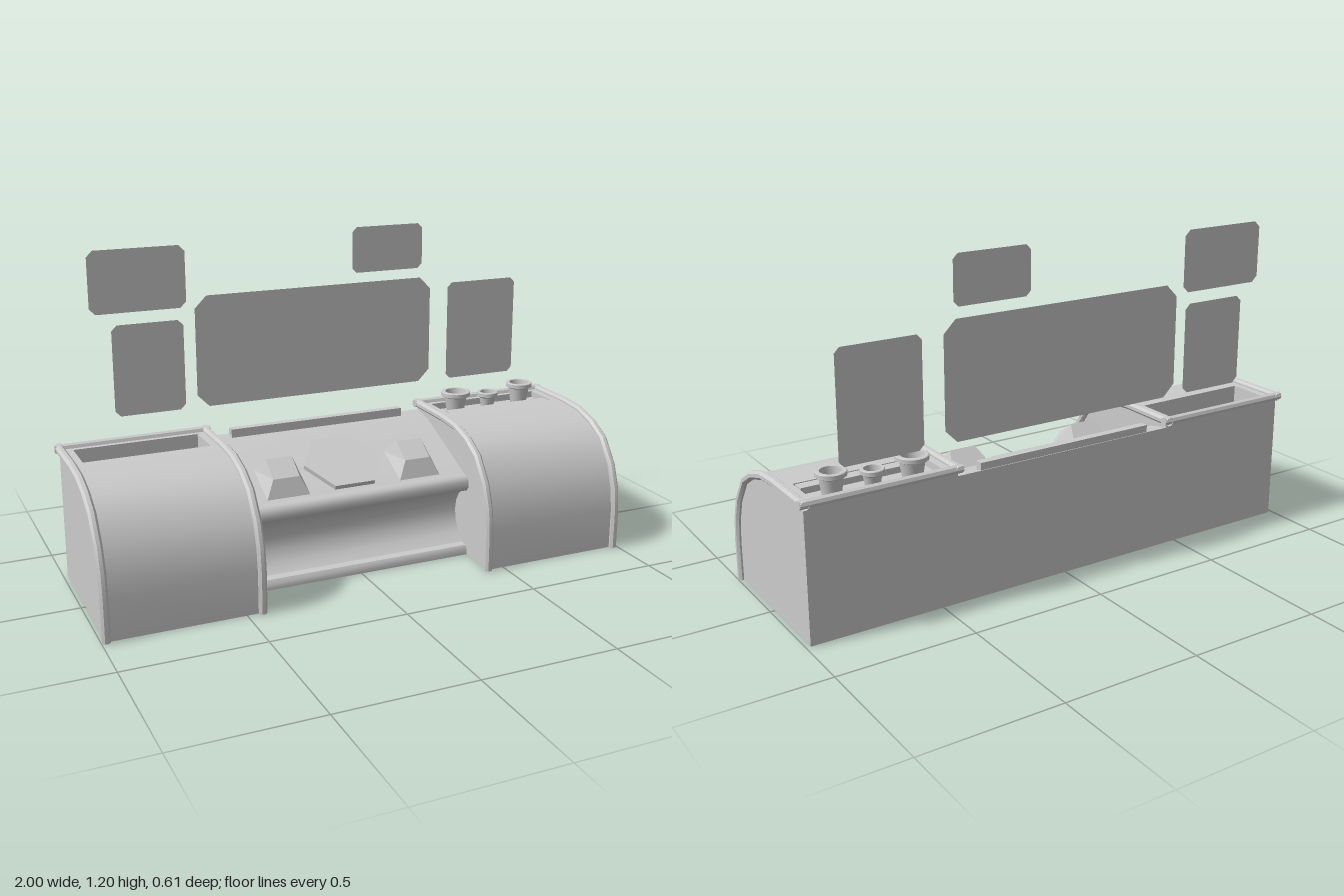
import * as THREE from 'three';
import { toCreasedNormals } from 'three/addons/utils/BufferGeometryUtils.js';

const mat = new THREE.MeshStandardMaterial({ color: 0xcccccc, side: THREE.DoubleSide });

function add(parent, name, geo, x = 0, y = 0, z = 0) {
  const mesh = new THREE.Mesh(geo, mat);
  mesh.name = name;
  mesh.position.set(x, y, z);
  parent.add(mesh);
  return mesh;
}

// Grid of points given by a rule, shaded smooth except at sharp edges
function grid(cols, rows, rule, crease = 0.6) {
  const geo = new THREE.PlaneGeometry(1, 1, cols, rows);
  const pos = geo.attributes.position;
  for (let i = 0; i < pos.count; i++) {
    pos.setXYZ(i, ...rule(i % (cols + 1), Math.floor(i / (cols + 1))));
  }
  return toCreasedNormals(geo, crease);
}

// Surface running along x with a [z, y] profile
const strip = (profile, x0, x1, crease) =>
  grid(1, profile.length - 1, (c, r) => [c ? x1 : x0, profile[r][1], profile[r][0]], crease);

const polygon = (pts) => new THREE.Shape(pts.map((p) => new THREE.Vector2(...p)));
const rect = (x0, x1, y0, y1) => [[x0, y0], [x1, y0], [x1, y1], [x0, y1]];

// Flat panel in the zy plane, facing sideways
const sidePanel = (pts) => new THREE.ShapeGeometry(polygon(pts)).rotateY(-Math.PI / 2);

// Round moulding following a [z, y] path with mitred bends
function moulding(path, radius, sides = 8) {
  const pts = path.map((p) => new THREE.Vector2(...p));
  const offsets = pts.map((p, i) => {
    const a = p.clone().sub(pts[Math.max(i - 1, 0)]).normalize();
    const b = pts[Math.min(i + 1, pts.length - 1)].clone().sub(p).normalize();
    const t = a.add(b).normalize();
    return new THREE.Vector2(-t.y, t.x);
  });
  return grid(sides, pts.length - 1, (c, r) => {
    const a = ((c + 0.5) / sides) * Math.PI * 2;
    const s = radius * Math.sin(a);
    return [radius * Math.cos(a), pts[r].y + offsets[r].y * s, pts[r].x + offsets[r].x * s];
  }, 0.5);
}

const BACK = -0.29, TOP = 0.485, R = 0.016;
const podCurve = [[0.29, 0], [0.29, 0.15], [0.28, 0.235], [0.25, 0.32], [0.187, 0.407],
  [0.115, 0.45], [0.027, 0.477], [-0.07, TOP]];

// Curved end cabinet, open below, with a recessed tray in its top
function makePod(name, x0, x1, depth, trayFront) {
  const pod = new THREE.Group();
  pod.name = name;
  add(pod, 'curvedFront', strip(podCurve, x0, x1));
  const tx0 = x0 + 0.042, tx1 = x1 - 0.042, tz0 = -0.255, tz1 = trayFront;
  const top = polygon(rect(x0, x1, 0.07, -BACK));
  top.holes.push(new THREE.Path(rect(tx0, tx1, -tz1, -tz0).map((p) => new THREE.Vector2(...p))));
  add(pod, 'topPanel', new THREE.ShapeGeometry(top).rotateX(-Math.PI / 2), 0, TOP, 0);
  const low = TOP - depth;
  add(pod, 'tray', strip([[tz1, TOP], [tz1, low], [tz0, low], [tz0, TOP]], tx0, tx1));
  for (const x of [tx0, tx1]) add(pod, 'trayEnd', sidePanel(rect(tz0, tz1, low, TOP)), x);
  for (const x of [x0, x1]) {
    add(pod, 'sideWall', sidePanel([...podCurve, [BACK, TOP], [BACK, 0]]), x);
    add(pod, 'edgeMoulding', moulding([...podCurve, [BACK - R, TOP]], R), x);
  }
  const rail = new THREE.CylinderGeometry(R, R, x1 - x0 + 2 * R, 8).rotateZ(Math.PI / 2);
  add(pod, 'backMoulding', toCreasedNormals(rail, 0.5), (x0 + x1) / 2, TOP, BACK);
  return pod;
}

// Flared hollow cup with a thick rim
function cup(radius, height) {
  const pts = [[0, 0], [0.6, 0], [0.78, height - 0.022], [1, height - 0.016], [1, height - 0.002],
    [0.95, height], [0.72, height], [0.66, height - 0.03], [0, height - 0.03]];
  const geo = new THREE.LatheGeometry(pts.map(([r, y]) => new THREE.Vector2(r * radius, y)), 16);
  return toCreasedNormals(geo, 0.6);
}

// Bevelled button whose faces lean with the sloped console
function button() {
  const rings = [
    [[-0.083, 0.315, 0.083], [0.083, 0.315, 0.083], [0.077, 0.385, -0.075], [-0.077, 0.385, -0.075]],
    [[-0.05, 0.385, 0.06], [0.05, 0.385, 0.06], [0.05, 0.437, -0.015], [-0.05, 0.437, -0.015]],
  ];
  const [a, b] = rings;
  const tris = [b[0], b[1], b[2], b[0], b[2], b[3]];
  for (let i = 0; i < 4; i++) {
    const j = (i + 1) % 4;
    tris.push(a[i], a[j], b[j], a[i], b[j], b[i]);
  }
  const geo = new THREE.BufferGeometry();
  geo.setAttribute('position', new THREE.Float32BufferAttribute(tris.flat(), 3));
  geo.computeVertexNormals();
  return geo;
}

// Thin rectangle with cut corners
function screen(x0, x1, y0, y1, c) {
  return new THREE.ShapeGeometry(polygon([[x0 + c, y0], [x1 - c, y0], [x1, y0 + c], [x1, y1 - c],
    [x1 - c, y1], [x0 + c, y1], [x0, y1 - c], [x0, y0 + c]]));
}

export function createModel() {
  const model = new THREE.Group();
  model.name = 'controlConsole';
  const inL = 0.436, inR = -0.444, out = 1 - R;

  // End cabinets
  model.add(makePod('rightCabinet', -out, inR, 0.08, -0.105));
  const left = makePod('leftCabinet', inL, out, 0.025, -0.115);
  model.add(left);

  // Cups and the slim strip in front of them
  for (const [x, r, top] of [[0.563, 0.057, 0.54], [0.708, 0.041, 0.522], [0.852, 0.052, 0.545]]) {
    add(left, 'cup', cup(r, top - 0.46), x, 0.46, -0.213);
  }
  add(left, 'trayStrip', new THREE.BoxGeometry(0.445, 0.022, 0.042), 0.712, 0.472, -0.138);

  // Back wall, lower between the cabinets
  add(model, 'backWall', new THREE.ShapeGeometry(polygon([[-out, 0], [out, 0], [out, TOP],
    [inL, TOP], [inL, 0.46], [inR, 0.46], [inR, TOP], [-out, TOP]])), 0, 0, BACK);

  // Centre console: sloped desk, rolled lip, hollow knee space and foot rail
  add(model, 'slopedDesk', strip([[BACK, 0.46], [-0.2, 0.442], [0.095, 0.313]], inR, inL));
  add(model, 'rolledLip', strip([[0.095, 0.313], [0.118, 0.308], [0.13, 0.293], [0.13, 0.268],
    [0.118, 0.253], [0.095, 0.248]], inR, inL, 0.9));
  add(model, 'kneeSpace', strip([[0.095, 0.248], [0.06, 0.225], [0.04, 0.19], [0.033, 0.15],
    [0.04, 0.11], [0.06, 0.07], [0.095, 0.04]], inR, inL, 0.9));
  add(model, 'footRail', strip([[0.095, 0.04], [0.12, 0.035], [0.13, 0.02], [0.13, 0]], inR, inL));
  add(model, 'backBar', new THREE.BoxGeometry(0.7, 0.035, 0.03), -0.005, 0.4675, -0.27);

  // Desk controls
  for (const x of [-0.262, 0.257]) add(model, 'button', button(), x);
  const hex = polygon([[-0.152, 0], [-0.078, -0.129], [0.078, -0.129], [0.152, 0], [0.078, 0.129], [-0.078, 0.129]]);
  const hexGeo = new THREE.ExtrudeGeometry(hex, { depth: 0.03, bevelEnabled: false });
  add(model, 'hexPanel', hexGeo, -0.005, 0.36, -0.045).rotation.x = -Math.PI / 2 + Math.atan(0.437);

  // Floating screens
  for (const [name, ...box] of [
    ['mainScreen', -0.472, 0.478, 0.577, 0.99, 0.045],
    ['lowerRightScreen', -0.778, -0.516, 0.577, 0.91, 0.02],
    ['upperRightScreen', -0.852, -0.502, 0.953, 1.178, 0.022],
    ['lowerLeftScreen', 0.556, 0.856, 0.575, 0.96, 0.018],
    ['upperLeftScreen', 0.148, 0.44, 1.028, 1.2, 0.018],
  ]) add(model, name, screen(...box), 0, 0, -0.285);

  return model;
}
